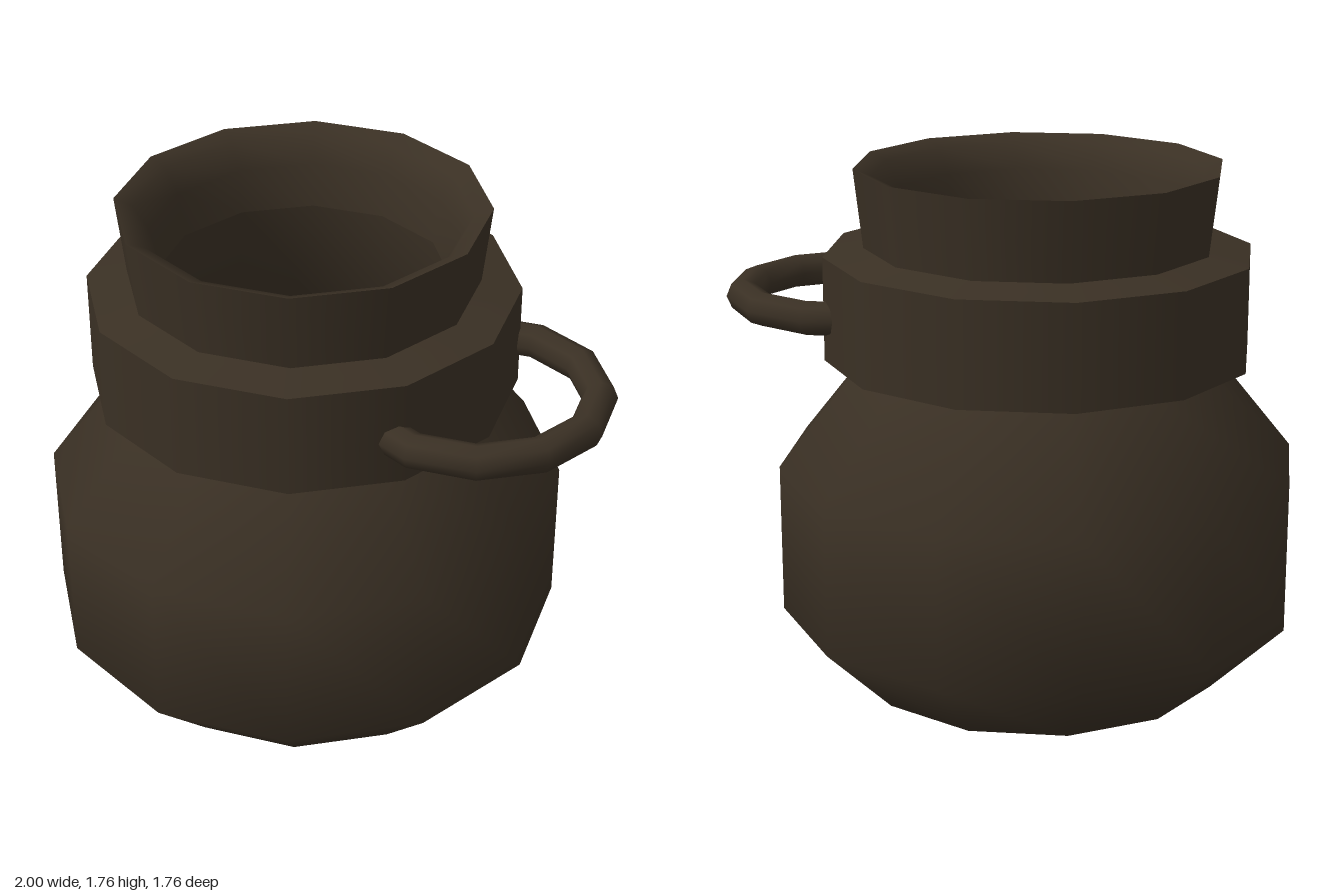
import * as THREE from 'three';

const SIDES = 12;
const AXIS_X = -0.12;

export function createModel() {
  const model = new THREE.Group();
  const clay = new THREE.MeshStandardMaterial({ color: 0x3a3024 });
  clay.name = 'dark brown clay';

  // Turn a profile of [radius, height] points around the pot's axis
  const turn = (name, points, parent) => {
    const profile = points.map(([r, y]) => new THREE.Vector2(r, y));
    const mesh = new THREE.Mesh(new THREE.LatheGeometry(profile, SIDES), clay);
    mesh.name = name;
    parent.add(mesh);
  };

  const pot = new THREE.Group();
  pot.name = 'pot';
  pot.position.x = AXIS_X;
  model.add(pot);

  // Rounded belly, smooth from base to shoulder
  turn('body', [[0, 0], [0.63, 0], [0.88, 0.245], [0.88, 0.755], [0.61, 1.09]], pot);

  // Collar: separate bands keep the edges sharp
  const collar = new THREE.Group();
  collar.name = 'collar';
  pot.add(collar);
  const collarProfile = [[0.6, 1.09], [0.72, 1.12], [0.72, 1.47], [0.58, 1.498]];
  ['collarUnderside', 'collarBand', 'collarTop'].forEach((name, i) =>
    turn(name, collarProfile.slice(i, i + 2), collar));

  // Flared neck, with a rounded lip running down inside it
  turn('neck', [[0.583, 1.48], [0.615, 1.76]], pot);
  turn('lip', [[0.615, 1.76], [0.555, 1.735], [0.505, 1.65], [0.485, 1.5]], pot);

  // Hollow inside
  turn('interior', [[0.485, 1.5], [0.53, 1.1], [0.8, 0.74], [0.8, 0.27], [0.58, 0.06], [0, 0.06]], pot);

  // Ring handle, its ends buried in the collar
  const arc = Math.PI * 4 / 3;
  const ring = new THREE.TorusGeometry(0.392, 0.058, 8, 8, arc);
  ring.rotateZ(-arc / 2).rotateX(Math.PI / 2);
  const handle = new THREE.Mesh(ring, clay);
  handle.name = 'handle';
  handle.position.set(0.55, 1.268, 0);
  model.add(handle);

  return model;
}
